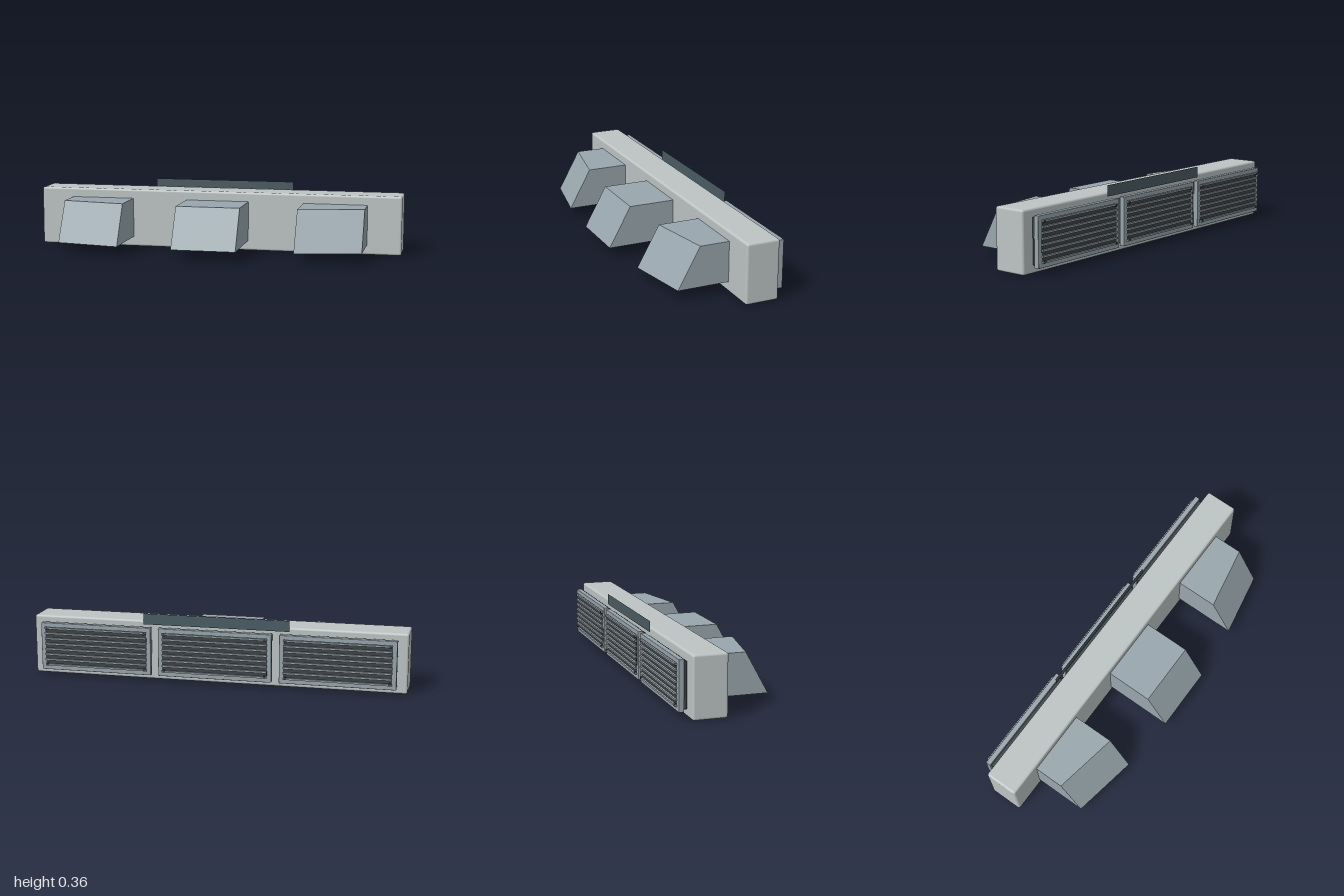
import * as THREE from 'three';
import { RoundedBoxGeometry } from 'three/addons/geometries/RoundedBoxGeometry.js';

const material = (name, color) => Object.assign(new THREE.MeshStandardMaterial({ color }), { name });

export function createModel() {
  const model = new THREE.Group();
  model.name = 'ventUnit';

  const bodyGrey = material('body grey', 0xbdc4c4);
  const blueGrey = material('blue grey', 0x98a6ad);
  const slatGrey = material('slat grey', 0x9aa3a6);
  const darkGrey = material('dark grey', 0x3c4248);
  const plateBlue = material('dark plate blue', 0x4a5b63);
  plateBlue.side = THREE.DoubleSide;

  const add = (parent, name, geometry, mat, x, y, z) => {
    const mesh = new THREE.Mesh(geometry, mat);
    mesh.name = name;
    mesh.position.set(x, y, z);
    parent.add(mesh);
    return mesh;
  };
  const box = (w, h, d) => new THREE.BoxGeometry(w, h, d);
  const spacing = 0.645;

  // Long rounded housing
  add(model, 'housing', new RoundedBoxGeometry(2, 0.317, 0.178, 4, 0.012), bodyGrey, 0, 0.1585, -0.151);

  // Hood with a raked front; outer hoods are also swept back at their outer side
  const hoodGeometry = (side) => {
    const g = box(0.345, 0.214, 1);
    const p = g.attributes.position;
    for (let i = 0; i < p.count; i++) {
      const rake = p.getY(i) > 0 ? 0 : 0.118;
      let front = 0.185;
      if (side) front = p.getX(i) * side > 0 ? 0.095 : 0.158;
      p.setZ(i, p.getZ(i) > 0 ? front + rake : -0.08);
    }
    g.computeVertexNormals();
    return g;
  };

  // Rear grille: gasket, frame, dark recess, slats and corner bolts
  const grille = () => {
    const g = new THREE.Group();
    g.name = 'grille';
    add(g, 'gasket', new RoundedBoxGeometry(0.59, 0.234, 0.018, 2, 0.004), darkGrey, 0, 0.16, -0.255);
    add(g, 'frame', new RoundedBoxGeometry(0.605, 0.256, 0.028, 2, 0.003), blueGrey, 0, 0.16, -0.277);
    add(g, 'recess', box(0.56, 0.212, 0.002), darkGrey, 0, 0.16, -0.291);
    for (let i = 0; i < 8; i++) {
      add(g, 'slat', box(0.56, 0.009, 0.012), slatGrey, 0, 0.06 + i * 0.0286, -0.296);
    }
    for (const x of [-0.268, 0.268]) {
      for (const y of [0.063, 0.257]) {
        const bolt = add(g, 'bolt', new THREE.CylinderGeometry(0.007, 0.007, 0.013, 12), darkGrey, x, y, -0.2965);
        bolt.rotation.x = Math.PI / 2;
      }
    }
    return g;
  };

  for (const side of [-1, 0, 1]) {
    add(model, 'hood', hoodGeometry(side), blueGrey, side * spacing, 0.16, 0);
    const g = grille();
    g.position.x = side * spacing;
    model.add(g);
  }

  // Thin upright plate behind the top edge
  add(model, 'backPlate', new THREE.PlaneGeometry(0.78, 0.058), plateBlue, 0, 0.328, -0.255);

  return model;
}
